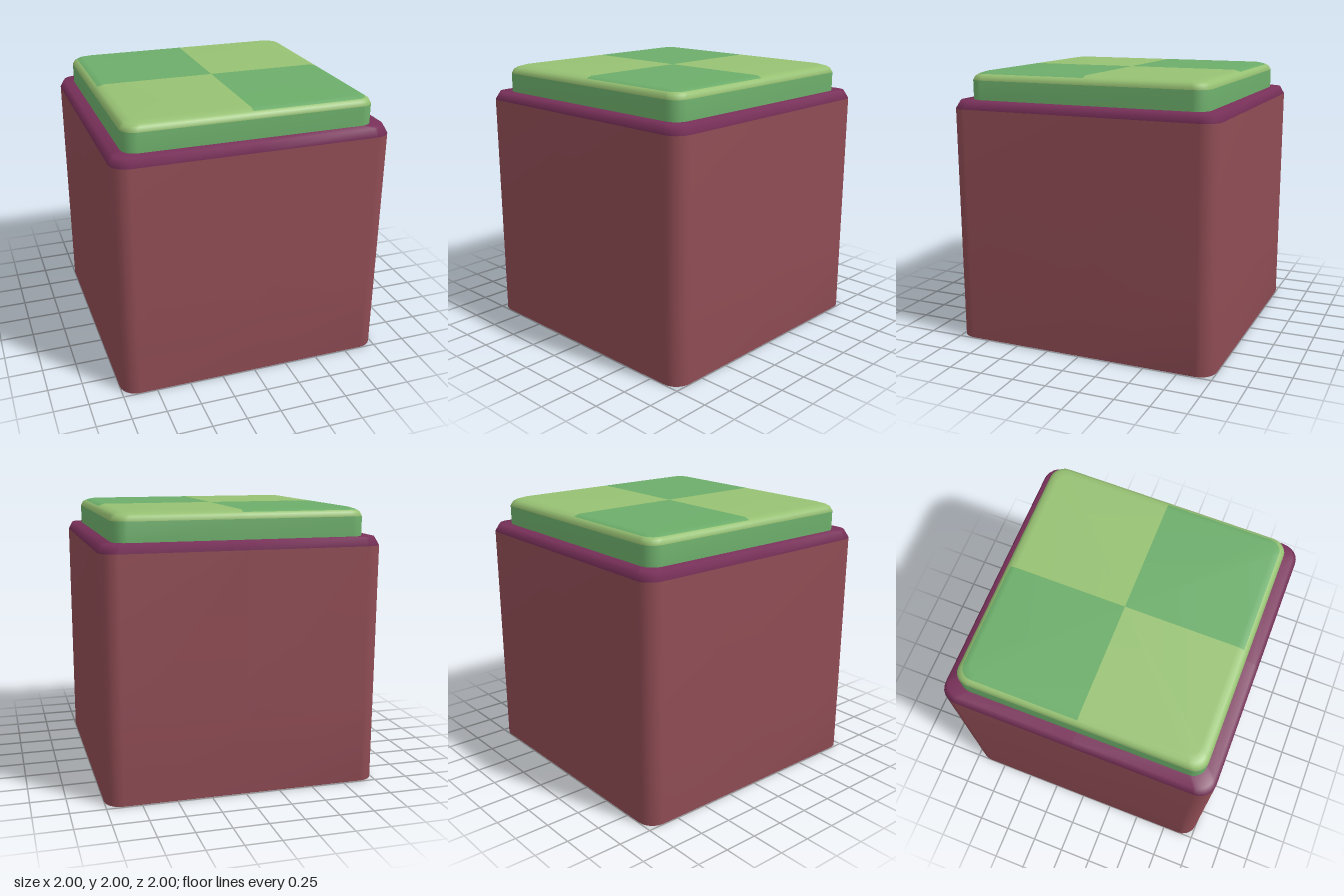
import * as THREE from 'three';

const flat = (name, color) => Object.assign(new THREE.MeshStandardMaterial({ color }), { name });

const ARC = 6; // segments per rounded corner

// Rounded square outline; each quadrant starts at the middle of a side.
function ring(half, y, radius) {
  const r = Math.min(radius, half), points = [];
  for (let q = 0; q < 4; q++) {
    const turn = (q * Math.PI) / 2, c = Math.cos(turn), s = Math.sin(turn);
    const add = (x, z) => points.push(x * c - z * s, y, x * s + z * c);
    add(half, 0);
    for (let k = 0; k <= ARC; k++) {
      const a = (k / ARC) * Math.PI / 2;
      add(half - r + r * Math.cos(a), half - r + r * Math.sin(a));
    }
  }
  return points;
}

// Joins rings [half, y, radius] from bottom to top; pick(band, quadrant) gives the material index.
function loft(name, profile, materials, pick) {
  const perQuad = ARC + 2, n = perQuad * 4;
  const faces = materials.map(() => []);
  for (let i = 0; i < profile.length - 1; i++) {
    for (let j = 0; j < n; j++) {
      const a = i * n + j, b = i * n + ((j + 1) % n), c = a + n, d = b + n;
      const list = faces[pick(i, Math.floor(j / perQuad))];
      if (profile[i + 1][0] > 0) list.push(b, c, d);
      if (profile[i][0] > 0) list.push(a, c, b);
      if (profile[i][0] === 0) list.push();
    }
  }
  const geometry = new THREE.BufferGeometry();
  const positions = profile.flatMap((p) => ring(...p));
  geometry.setAttribute('position', new THREE.Float32BufferAttribute(positions, 3));
  geometry.setIndex(faces.flat());
  let start = 0;
  faces.forEach((list, m) => {
    geometry.addGroup(start, list.length, m);
    start += list.length;
  });
  geometry.computeVertexNormals();
  const mesh = new THREE.Mesh(geometry, materials);
  mesh.name = name;
  return mesh;
}

export function createModel() {
  const earth = flat('red earth', 0x8f4c54);
  const plum = flat('plum', 0x783059);
  const grass = flat('grass green', 0x6cad6a);
  const lime = flat('light green', 0x97c173);

  const group = new THREE.Group();
  group.name = 'grassBlock';

  // Earth block: plum underside, red walls, bevelled plum rim
  group.add(loft('earthBlock', [
    [0, 0, 0.12], [0.97, 0, 0.11], [1, 0.005, 0.12], [1, 0.55, 0.12],
    [1, 1.74, 0.12], [0.97, 1.8, 0.11], [0.85, 1.8, 0.1], [0, 1.8, 0],
  ], [earth, plum], (band) => (band === 2 || band === 3 ? 0 : 1)));

  // Grass slab: green wall, light bevel, checkered top
  group.add(loft('grassSlab', [
    [0.9, 1.79, 0.1], [0.9, 1.94, 0.1], [0.887, 1.97, 0.1],
    [0.865, 1.985, 0.09], [0.82, 2, 0.08], [0, 2, 0],
  ], [grass, lime], (band, quad) => {
    if (band === 0) return 0;
    return band >= 3 && quad % 2 === 0 ? 0 : 1;
  }));

  return group;
}
